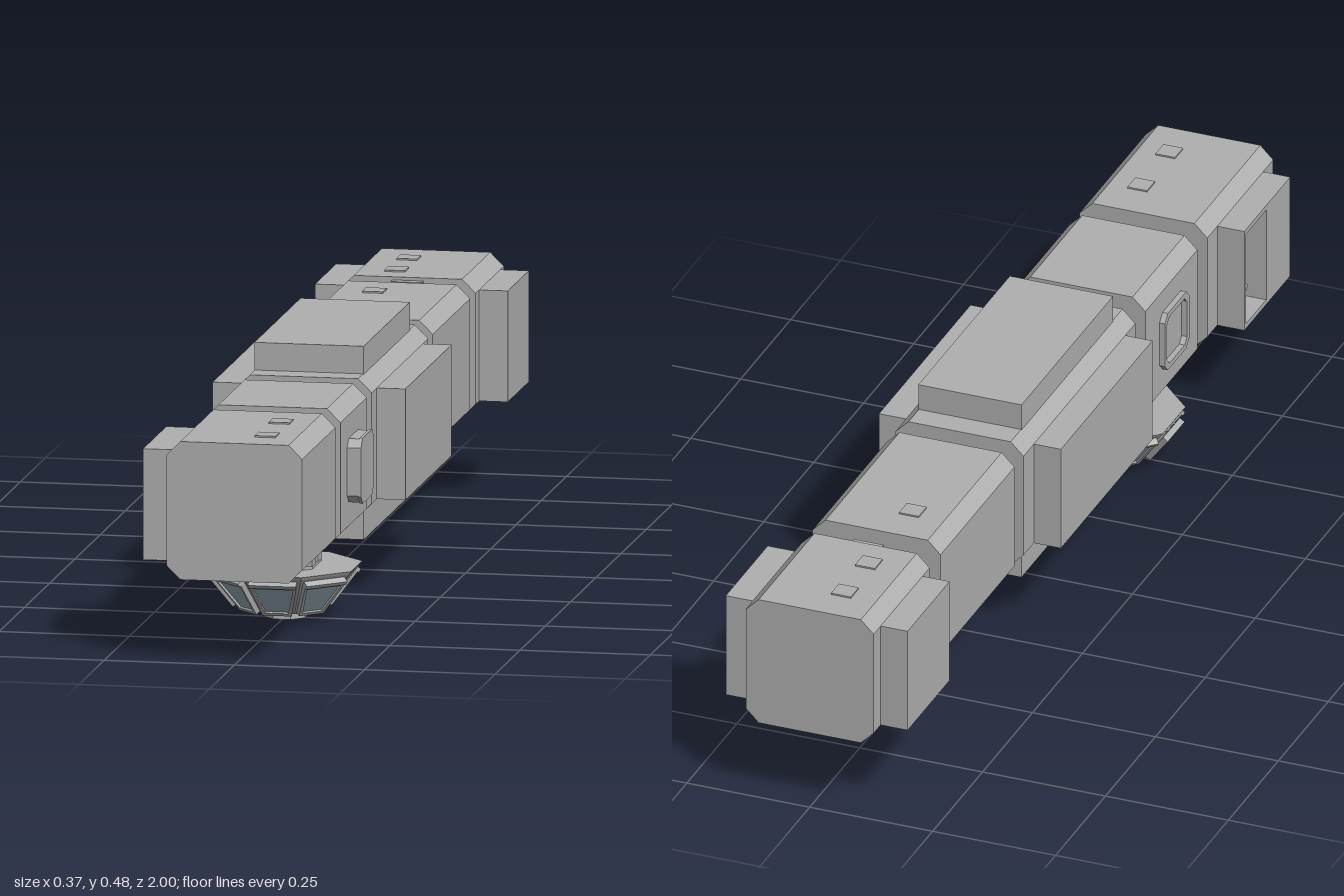
import * as THREE from 'three';

const hull = new THREE.MeshStandardMaterial({ color: 0xb0b0b0 });
hull.name = 'hullGrey';
const glass = new THREE.MeshStandardMaterial({ color: 0x9ab0be });
glass.name = 'windowBlue';

const CY = 0.2925; // height of the station axis

function mesh(parent, name, geo, mat, x = 0, y = 0, z = 0) {
  const m = new THREE.Mesh(geo, mat);
  m.name = name;
  m.position.set(x, y, z);
  parent.add(m);
  return m;
}

const polygon = (pts) => new THREE.Shape(pts.map(([x, y]) => new THREE.Vector2(x, y)));

// Rectangle with cut corners, half sizes w and h, cut c
function cutRect(w, h, c) {
  return polygon([[w - c, -h], [w, -h + c], [w, h - c], [w - c, h],
    [-w + c, h], [-w, h - c], [-w, -h + c], [-w + c, -h]]);
}

function rect(x0, x1, y0, y1) {
  return polygon([[x0, y0], [x1, y0], [x1, y1], [x0, y1]]);
}

function prism(shape, depth) {
  return new THREE.ExtrudeGeometry(shape, { depth, bevelEnabled: false, curveSegments: 4 });
}

// Box given by its limits
function box(parent, name, x0, x1, y0, y1, z0, z1) {
  return mesh(parent, name, new THREE.BoxGeometry(x1 - x0, y1 - y0, z1 - z0), hull,
    (x0 + x1) / 2, (y0 + y1) / 2, (z0 + z1) / 2);
}

// Eight-sided frustum with flats facing the axes; radii are measured to the flats
function octFrustum(top, bottom, height) {
  const k = 1 / Math.cos(Math.PI / 8);
  const g = new THREE.CylinderGeometry(top * k, bottom * k, height, 8).toNonIndexed();
  g.rotateY(Math.PI / 8);
  g.computeVertexNormals();
  return g;
}

// Trapezoid half widths at lower and upper height
const trapezoid = (b, yb, t, yt) => polygon([[-b, yb], [b, yb], [t, yt], [-t, yt]]);

function buildCupola() {
  const g = new THREE.Group();
  g.name = 'cupola';
  g.position.z = 0.49;
  const neck = mesh(g, 'cupolaNeck', prism(cutRect(0.06, 0.06, 0.015), 0.07), hull, 0, 0.167, 0);
  neck.rotation.x = Math.PI / 2;
  const ring = mesh(g, 'neckRing', prism(cutRect(0.067, 0.067, 0.017), 0.005), hull, 0, 0.139, 0);
  ring.rotation.x = Math.PI / 2;
  mesh(g, 'cupolaRim', octFrustum(0.136, 0.133, 0.005), hull, 0, 0.0975, 0);
  mesh(g, 'cupolaShell', octFrustum(0.133, 0.075, 0.077), hull, 0, 0.0565, 0);
  mesh(g, 'bottomWindowFrame', octFrustum(0.04, 0.04, 0.018), hull, 0, 0.0095, 0);
  mesh(g, 'bottomWindow', octFrustum(0.032, 0.032, 0.002), glass, 0, 0.001, 0);

  // Sloping faces: the +x and -x faces are blank, the -x one carries a shutter
  for (let i = 0; i < 8; i++) {
    const turn = new THREE.Group();
    turn.name = 'cupolaFace';
    turn.rotation.y = i * Math.PI / 4;
    g.add(turn);
    const face = new THREE.Group();
    face.name = 'windowUnit';
    face.position.set(0, 0.058, 0.104);
    face.rotation.x = 0.645;
    turn.add(face);
    if (i === 2) continue;
    if (i === 6) {
      mesh(face, 'shutter', prism(trapezoid(0.026, -0.036, 0.042, 0.036), 0.012), hull, 0, 0, 0.006);
      continue;
    }
    const frame = trapezoid(0.028, -0.045, 0.046, 0.034);
    frame.holes.push(trapezoid(0.022, -0.038, 0.039, 0.028));
    mesh(face, 'windowFrame', prism(frame, 0.011), hull);
    mesh(face, 'windowPane', prism(trapezoid(0.023, -0.039, 0.04, 0.029), 0.003), glass, 0, 0, 0.004);
    mesh(face, 'shutterHinge', new THREE.BoxGeometry(0.092, 0.008, 0.014), hull, 0, 0.037, 0.007);
  }
  return g;
}

export function createModel() {
  const root = new THREE.Group();
  root.name = 'spaceStation';

  // Five pressurised modules, front to back
  const modules = [[0.67, 1], [0.36, 0.62], [-0.25, 0.31], [-0.665, -0.295], [-1, -0.72]];
  for (const [z0, z1] of modules) {
    mesh(root, 'module', prism(cutRect(0.13, 0.1325, 0.026), z1 - z0), hull, 0, CY, z0);
  }

  // Connecting tunnels with a collar and side latches
  for (let i = 0; i < 4; i++) {
    const z1 = modules[i][0], z0 = modules[i + 1][1], mid = (z0 + z1) / 2;
    mesh(root, 'tunnel', prism(cutRect(0.06, 0.06, 0.015), z1 - z0 + 0.01), hull, 0, CY, z0 - 0.005);
    mesh(root, 'tunnelCollar', prism(cutRect(0.067, 0.067, 0.017), 0.006), hull, 0, CY, mid - 0.003);
  }

  // Equipment bays around the central module
  for (const s of [-1, 1]) {
    box(root, 'sideBay', ...(s > 0 ? [0.125, 0.185] : [-0.185, -0.125]), 0.186, 0.399, -0.198, 0.26);
    box(root, 'rearSideBay', ...(s > 0 ? [0.125, 0.185] : [-0.185, -0.125]), 0.186, 0.399, -0.965, -0.755);
  }
  box(root, 'topBay', -0.105, 0.105, 0.42, 0.478, -0.198, 0.26);
  box(root, 'bottomBay', -0.105, 0.105, 0.107, 0.165, -0.198, 0.26);

  // Front bay on the model's right with a recessed opening and a handle
  const bay = rect(0.72, 0.95, 0.186, 0.399);
  bay.holes.push(rect(0.728, 0.83, 0.196, 0.389));
  mesh(root, 'frontSideBay', prism(bay, 0.055), hull, -0.13, 0, 0).rotation.y = -Math.PI / 2;
  const handle = mesh(root, 'recessHandle', new THREE.CylinderGeometry(0.008, 0.008, 0.04, 10), hull, -0.148, 0.25, 0.77);
  handle.rotation.z = Math.PI / 2;

  // Side hatches on the second module
  const hatch = mesh(root, 'hatch', prism(cutRect(0.061, 0.061, 0.015), 0.022), hull, 0.13, CY, 0.492);
  hatch.rotation.y = Math.PI / 2;
  const lid = mesh(root, 'hatchLid', prism(cutRect(0.063, 0.063, 0.016), 0.006), hull, 0.151, CY, 0.492);
  lid.rotation.y = Math.PI / 2;
  const port = cutRect(0.061, 0.061, 0.015);
  port.holes.push(cutRect(0.05, 0.05, 0.012));
  mesh(root, 'portRing', prism(port, 0.012), hull, -0.129, CY, 0.492).rotation.y = -Math.PI / 2;

  // Small raised plates on the roofs and sides
  for (const [x, z] of [[-0.035, -0.91], [-0.035, -0.79], [-0.035, -0.57], [0.045, 0.77], [0.045, 0.91]]) {
    box(root, 'roofPlate', x - 0.02, x + 0.02, 0.423, 0.428, z - 0.02, z + 0.02);
  }
  box(root, 'sidePlate', 0.128, 0.132, 0.205, 0.225, -0.365, -0.32);
  for (const z of [0.8, 0.86]) box(root, 'lowerPlate', 0.105, 0.126, 0.17, 0.186, z - 0.02, z + 0.02);

  // Grab rail at the rear joint
  box(root, 'grabRail', -0.03, 0.03, 0.413, 0.419, -0.722, -0.703);

  root.add(buildCupola());
  return root;
}
